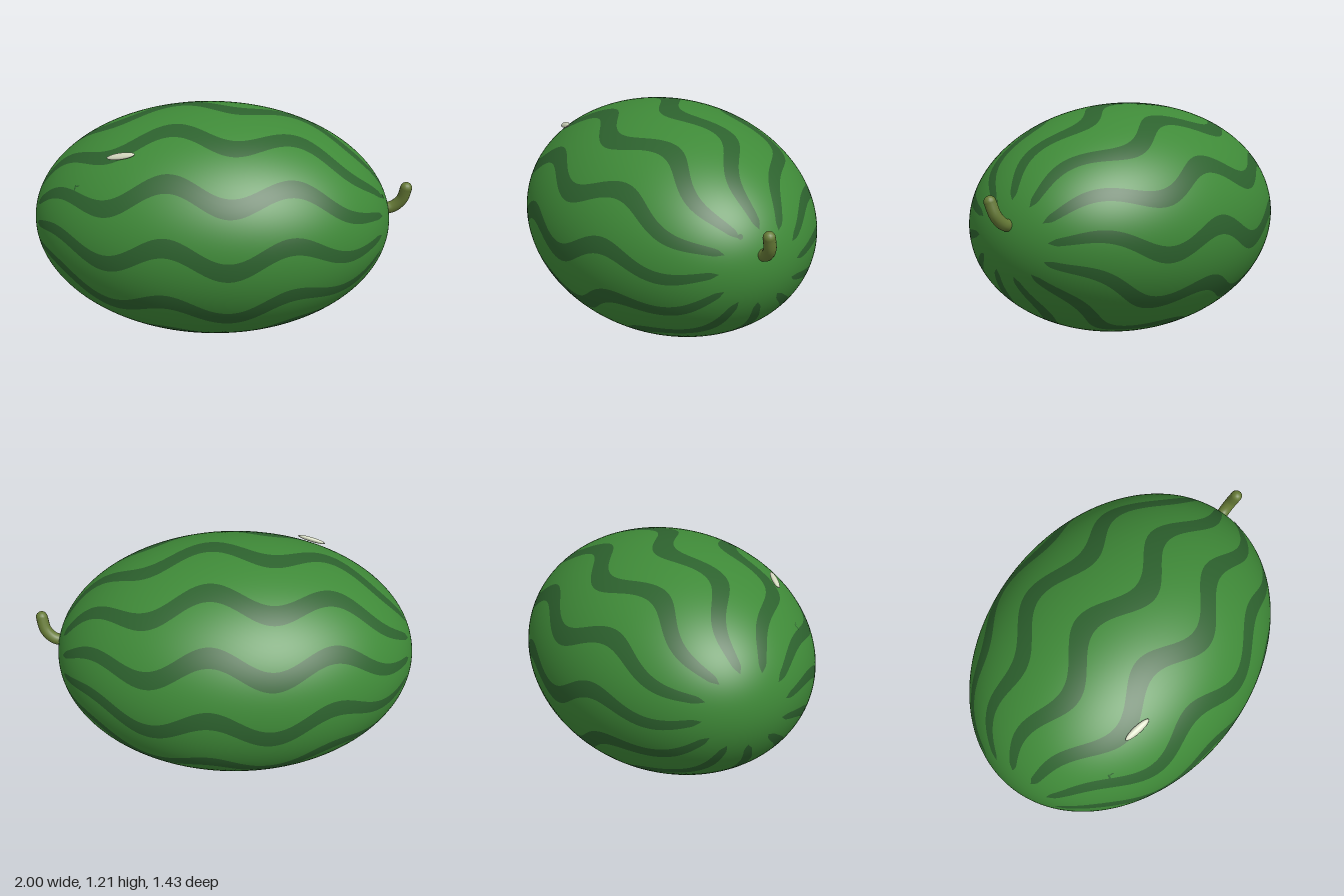
import * as THREE from 'three';

const C = new THREE.Vector3(-0.057, 0.605, 0); // fruit centre
const R = new THREE.Vector3(0.943, 0.605, 0.717); // fruit radii
const DEG = Math.PI / 180;
const SECTORS = 12, ROWS = 160, END = 18.7;

const mat = (name, color) => {
  const m = new THREE.MeshStandardMaterial({ color });
  m.name = name;
  return m;
};

// Point on the rind: unit height along x, angle about x from the front upwards
function onRind(xn, angle, lift = 0) {
  const r = Math.sqrt(Math.max(0, 1 - xn * xn));
  const u = new THREE.Vector3(xn, r * Math.sin(angle), r * Math.cos(angle));
  const normal = u.clone().divide(R).normalize();
  return { p: u.multiply(R).add(C).addScaledVector(normal, lift), normal };
}

// Sideways sway of the stripes, in degrees
const sway = (xn) => 1.8 + (5.6 + 3 * xn * xn) * Math.cos((2 * Math.PI * (xn + 0.185)) / 0.665);

// Half width of a stripe in degrees, with rounded ends
function halfWidth(theta) {
  const d = Math.min(theta, 180 - theta) - END;
  return 4.7 * Math.sqrt(THREE.MathUtils.clamp(d / 3, 0, 1));
}

// Rind strips running pole to pole between two edges of every sector
function rindGeometry(cols, edges) {
  const pos = [], nor = [], idx = [];
  for (let s = 0; s < SECTORS; s++) {
    const base = pos.length / 3;
    for (let i = 0; i <= ROWS; i++) {
      const theta = (180 * i) / ROWS;
      const xn = -Math.cos(theta * DEG);
      const [a0, a1] = edges(halfWidth(theta));
      for (let j = 0; j <= cols; j++) {
        const a = s * 30 + sway(xn) + a0 + ((a1 - a0) * j) / cols;
        const { p, normal } = onRind(xn, a * DEG);
        pos.push(p.x, p.y, p.z);
        nor.push(normal.x, normal.y, normal.z);
        if (i < ROWS && j < cols) {
          const k = base + i * (cols + 1) + j, n = k + cols + 1;
          idx.push(k, n, k + 1, k + 1, n, n + 1);
        }
      }
    }
  }
  const g = new THREE.BufferGeometry();
  g.setAttribute('position', new THREE.Float32BufferAttribute(pos, 3));
  g.setAttribute('normal', new THREE.Float32BufferAttribute(nor, 3));
  g.setIndex(idx);
  return g;
}

export function createModel() {
  const group = new THREE.Group();
  group.name = 'watermelon';
  const rind = mat('rind green', 0x3f8a38);
  const dark = mat('stripe green', 0x2d622e);
  const olive = mat('stem olive', 0x667a36);
  const pale = mat('scar cream', 0xd3d8bf);
  const add = (name, geometry, material, parent = group) => {
    const m = new THREE.Mesh(geometry, material);
    m.name = name;
    parent.add(m);
    return m;
  };

  // Striped rind
  add('rind', rindGeometry(7, (h) => [h, 30 - h]), rind);
  add('stripes', rindGeometry(3, (h) => [-h, h]), dark);

  // Curved stem with a rounded tip
  const path = new THREE.CatmullRomCurve3([
    new THREE.Vector3(0.85, 0.67, 0),
    new THREE.Vector3(0.905, 0.685, 0),
    new THREE.Vector3(0.948, 0.73, 0.01),
    new THREE.Vector3(0.966, 0.797, 0.028),
  ]);
  add('stem', new THREE.TubeGeometry(path, 24, 0.031, 16), olive);
  const tip = add('stemTip', new THREE.SphereGeometry(0.031, 16, 10), olive);
  tip.position.copy(path.getPoint(1));
  tip.scale.setScalar(1.0);

  // Pale scar lying on the upper front
  const a = new THREE.Vector3(-0.55, 1.036, 0.383);
  const b = new THREE.Vector3(-0.405, 1.068, 0.417);
  const mid = a.clone().add(b).multiplyScalar(0.5);
  const along = b.clone().sub(a).normalize();
  const out = mid.clone().sub(C).divide(R).divide(R);
  out.addScaledVector(along, -out.dot(along)).normalize();
  const scar = add('scar', new THREE.SphereGeometry(1, 20, 12), pale);
  scar.scale.set(0.077, 0.012, 0.02);
  scar.position.copy(mid);
  scar.quaternion.setFromRotationMatrix(
    new THREE.Matrix4().makeBasis(along, out, along.clone().cross(out)));

  // Small dark blemishes: a forked nick and a dot by the stem
  const nicks = new THREE.Group();
  nicks.name = 'blemishes';
  group.add(nicks);
  const spot = (name, xn, angle, w, h, turn) => {
    const { p, normal } = onRind(xn, angle, 0.002);
    const m = add(name, new THREE.CircleGeometry(1, 12), dark, nicks);
    m.position.copy(p);
    m.lookAt(p.clone().add(normal));
    m.rotateZ(turn);
    m.scale.set(w, h, 1);
  };
  spot('nickLong', -0.695, 39 * DEG, 0.018, 0.005, 1.9);
  spot('nickShort', -0.68, 40 * DEG, 0.014, 0.004, 0.4);
  spot('stemDot', 0.949, 62 * DEG, 0.014, 0.014, 0);
  return group;
}
